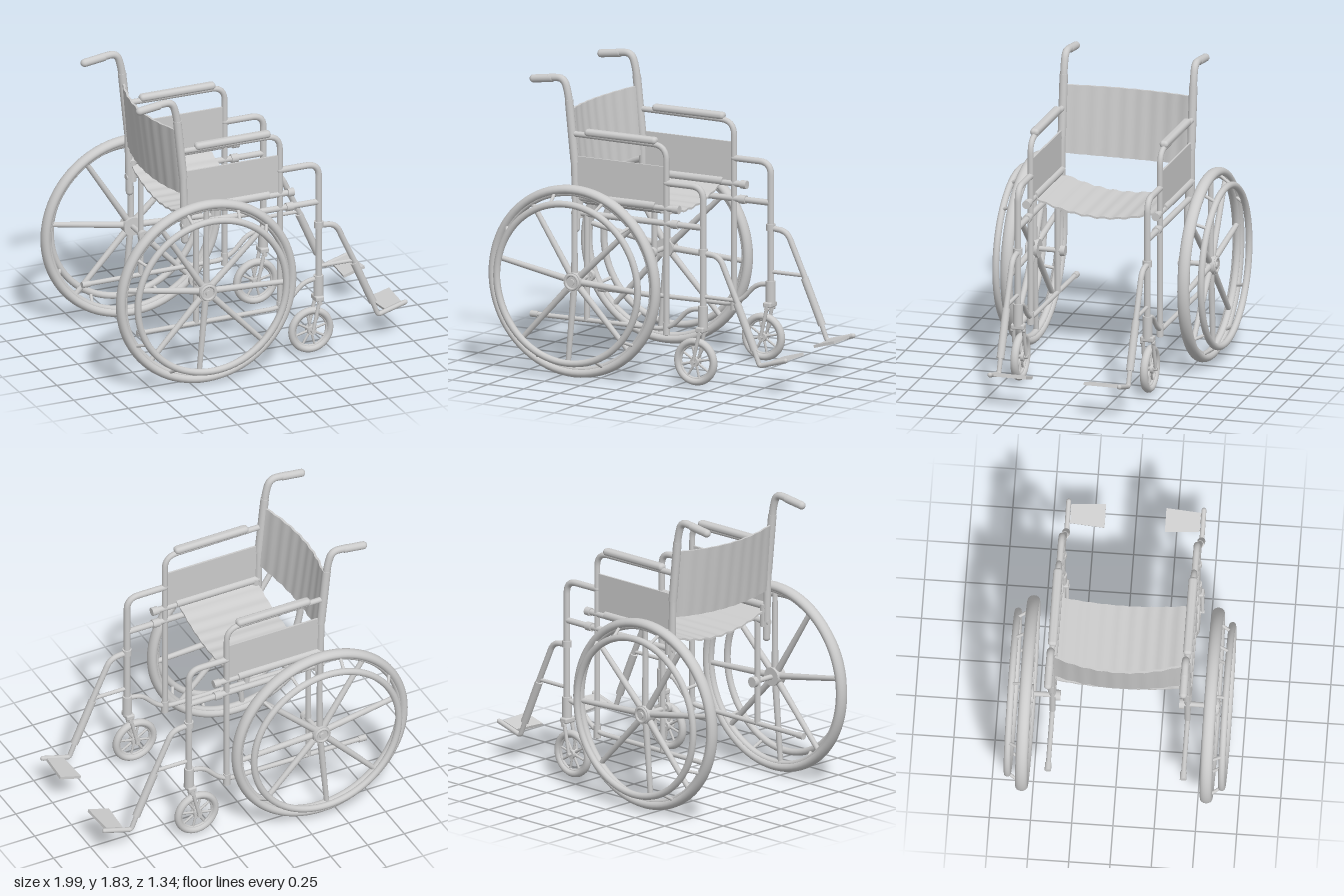
import * as THREE from 'three';
import { RoundedBoxGeometry } from 'three/addons/geometries/RoundedBoxGeometry.js';

const grey = new THREE.MeshStandardMaterial({ color: 0xcccccc });
const V = (x, y, z) => new THREE.Vector3(x, y, z);
const rad = THREE.MathUtils.degToRad;

function add(parent, name, geometry, x = 0, y = 0, z = 0) {
  const mesh = new THREE.Mesh(geometry, grey);
  mesh.name = name;
  mesh.position.set(x, y, z);
  parent.add(mesh);
  return mesh;
}

// Straight round bar between two points
function rod(parent, name, a, b, r, r2 = r, sides = 14) {
  const d = b.clone().sub(a);
  const mesh = add(parent, name, new THREE.CylinderGeometry(r2, r, d.length(), sides));
  mesh.position.copy(a).addScaledVector(d, 0.5);
  mesh.quaternion.setFromUnitVectors(V(0, 1, 0), d.normalize());
  return mesh;
}

// Tube through [x, y] points in the plane z, with rounded corners and closed ends
function bentTube(parent, name, pts, z, r, bend = 0.06) {
  const p = pts.map(([x, y]) => V(x, y, z));
  const path = new THREE.CurvePath();
  let from = p[0];
  for (let i = 1; i < p.length - 1; i++) {
    const a = p[i - 1].clone().sub(p[i]), b = p[i + 1].clone().sub(p[i]);
    const k = Math.min(bend, a.length() * 0.48, b.length() * 0.48);
    const start = p[i].clone().addScaledVector(a.normalize(), k);
    const end = p[i].clone().addScaledVector(b.normalize(), k);
    path.add(new THREE.LineCurve3(from, start));
    path.add(new THREE.QuadraticBezierCurve3(start, p[i], end));
    from = end;
  }
  path.add(new THREE.LineCurve3(from, p[p.length - 1]));
  add(parent, name, new THREE.TubeGeometry(path, 80, r, 12));
  for (const e of [p[0], p[p.length - 1]])
    add(parent, name + 'End', new THREE.SphereGeometry(r, 12, 8), e.x, e.y, e.z);
}

// Thin cloth from a rule (u, v) -> point, with a front, a back and a rim
function cloth(parent, name, rule, offset, nu = 40, nv = 6) {
  const geo = new THREE.BoxGeometry(1, 1, 1, nu, 1, nv);
  const p = geo.attributes.position;
  for (let i = 0; i < p.count; i++) {
    const q = rule(p.getX(i) * 2, p.getZ(i) + 0.5).addScaledVector(offset, p.getY(i));
    p.setXYZ(i, q.x, q.y, q.z);
  }
  geo.computeVertexNormals();
  const mesh = add(parent, name, geo);
  mesh.material = grey.clone();
  mesh.material.side = THREE.DoubleSide;
}

function bigWheel(s) {
  const g = new THREE.Group();
  g.name = 'rearWheel';
  g.position.set(-0.4, 0.6, s * 0.56);
  add(g, 'tire', new THREE.TorusGeometry(0.565, 0.029, 16, 80)).scale.z = 1.28;
  add(g, 'rim', new THREE.TorusGeometry(0.542, 0.017, 10, 80)).scale.z = 1.3;
  add(g, 'handRim', new THREE.TorusGeometry(0.492, 0.021, 12, 80), 0, 0, s * 0.09);
  for (const deg of [90, 43, -3, -46, -95, -133, 170, 123]) {
    const c = Math.cos(rad(deg)), n = Math.sin(rad(deg));
    rod(g, 'spoke', V(c * 0.03, n * 0.03, 0), V(c * 0.545, n * 0.545, 0), 0.021, 0.016);
  }
  // Struts holding the push ring
  for (const deg of [148, 104, 68, 44, -40, -68, -117, -150]) {
    const c = Math.cos(rad(deg)), n = Math.sin(rad(deg));
    rod(g, 'handRimStrut', V(c * 0.55, n * 0.55, s * 0.01), V(c * 0.495, n * 0.495, s * 0.09), 0.01);
  }
  rod(g, 'hub', V(0, 0, -0.035), V(0, 0, 0.035), 0.058, 0.058, 28);
  add(g, 'hubRing', new THREE.TorusGeometry(0.044, 0.009, 8, 28), 0, 0, s * 0.035);
  rod(g, 'hubCap', V(0, 0, 0), V(0, 0, s * 0.046), 0.02);
  rod(g, 'axle', V(0, 0, 0), V(0, 0, -s * 0.18), 0.016);
  rod(g, 'axleMount', V(0, 0, -s * 0.17), V(0, 0, -s * 0.2), 0.033);
  return g;
}

function caster(s) {
  const g = new THREE.Group();
  g.name = 'caster';
  g.position.set(0.36, 0.157, s * 0.41);
  add(g, 'casterTire', new THREE.TorusGeometry(0.125, 0.022, 12, 40)).scale.z = 1.15;
  add(g, 'casterRim', new THREE.TorusGeometry(0.106, 0.01, 8, 40));
  for (let i = 0; i < 8; i++) {
    const a = (i + 0.3) * Math.PI / 4;
    rod(g, 'casterSpoke', V(0, 0, 0), V(Math.cos(a) * 0.108, Math.sin(a) * 0.108, 0), 0.009, 0.007, 8);
  }
  rod(g, 'casterHub', V(0, 0, -0.025), V(0, 0, 0.025), 0.028, 0.028, 20);
  rod(g, 'casterAxle', V(0, 0, -0.048), V(0, 0, 0.048), 0.012);
  // Fork blades and crown
  for (const t of [-1, 1]) {
    rod(g, 'forkBlade', V(0.045, 0.2, t * 0.032), V(0, 0, t * 0.036), 0.012, 0.01);
    rod(g, 'forkNut', V(0.045, 0.18, t * 0.03), V(0.045, 0.18, t * 0.046), 0.014);
  }
  add(g, 'forkCrown', new RoundedBoxGeometry(0.055, 0.035, 0.085, 2, 0.01), 0.045, 0.205, 0);
  rod(g, 'forkStem', V(0.05, 0.21, 0), V(0.05, 0.35, 0), 0.03, 0.03, 18);
  return g;
}

function sideFrame(s) {
  const g = new THREE.Group();
  g.name = 'sideFrame';
  const z = s * 0.41;
  const P = (x, y) => V(x, y, z);

  // Back post and push handle
  bentTube(g, 'backPost', [[-0.475, 0.89], [-0.485, 1.3], [-0.53, 1.72], [-0.56, 1.815], [-0.66, 1.805]], z, 0.023);
  rod(g, 'backPostSleeve', P(-0.485, 1.3), P(-0.525, 1.68), 0.026);
  add(g, 'handGrip', new THREE.CapsuleGeometry(0.025, 0.125, 6, 14), -0.71, 1.795, z).rotation.z = Math.PI / 2 + 0.13;

  // Armrest, its pad and the skirt panel
  bentTube(g, 'armrestTube', [[-0.48, 1.475], [0.155, 1.47], [0.155, 0.31]], z, 0.018, 0.09);
  add(g, 'armrestPad', new RoundedBoxGeometry(0.5, 0.045, 0.055, 4, 0.021), -0.16, 1.493, z);
  add(g, 'skirtPanel', new THREE.BoxGeometry(0.62, 0.26, 0.012), -0.16, 1.21, z);

  // Seat rails
  rod(g, 'seatRail', P(-0.48, 1.09), P(0.08, 1.09), 0.026);
  rod(g, 'seatRailFront', P(0.08, 1.083), P(0.22, 1.083), 0.019);
  rod(g, 'seatRailCap', P(0.205, 1.083), P(0.245, 1.083), 0.026);
  rod(g, 'lowerRail', P(-0.5, 0.99), P(0.41, 0.99), 0.019);
  rod(g, 'lowerRailCollar', P(0.195, 0.99), P(0.24, 0.99), 0.027);
  rod(g, 'railBracket', P(-0.46, 1.1), P(-0.46, 0.96), 0.03);

  // Front frame, axle strut and base tube
  bentTube(g, 'frontFrame', [[0.155, 1.24], [0.412, 1.24], [0.412, 0.45]], z, 0.02, 0.08);
  rod(g, 'frontCollar', P(0.412, 0.82), P(0.412, 0.86), 0.029);
  rod(g, 'axleStrut', P(-0.4, 0.99), P(-0.4, 0.33), 0.018);
  bentTube(g, 'baseTube', [[-0.77, 0.33], [0.13, 0.335], [0.21, 0.37], [0.31, 0.475], [0.41, 0.49]], z, 0.015);
  rod(g, 'baseTubeTip', P(-0.79, 0.33), P(-0.74, 0.33), 0.02);
  rod(g, 'baseClamp', P(0.155, 0.3), P(0.155, 0.38), 0.022);

  // Leg rest and foot plate
  bentTube(g, 'legRest', [[0.412, 0.835], [0.525, 0.825], [0.66, 0.53]], z, 0.018, 0.11);
  rod(g, 'legRestBrace', P(0.412, 0.565), P(0.635, 0.565), 0.012);
  rod(g, 'legRestSleeve', P(0.647, 0.55), P(0.77, 0.27), 0.024);
  bentTube(g, 'footBar', [[0.76, 0.29], [0.805, 0.178], [0.985, 0.23]], z, 0.015, 0.02);
  const plate = new THREE.BoxGeometry(0.13, 0.018, 0.21);
  const p = plate.attributes.position;
  for (let i = 0; i < p.count; i++) p.setX(i, p.getX(i) * (1 - s * p.getZ(i) * 1.1));
  plate.computeVertexNormals();
  add(g, 'footPlate', plate, 0.912, 0.21, s * 0.288).rotation.z = 0.28;
  return g;
}

export function createModel() {
  const root = new THREE.Group();
  root.name = 'wheelchair';
  for (const s of [1, -1]) root.add(bigWheel(s), caster(s), sideFrame(s));

  // Sagging seat sling between the rails
  cloth(root, 'seatSling', (u, v) => V(
    -0.47 + 0.53 * v,
    0.985 + 0.08 * u * u + 0.004 * Math.sin(u * 28),
    -0.4 * u), V(0, 0.012, 0));

  // Back sling bulging to the rear
  cloth(root, 'backSling', (u, v) => V(
    -0.485 - 0.035 * v - (0.05 + 0.02 * v) * (1 - u * u) + 0.003 * Math.sin(u * 26),
    THREE.MathUtils.lerp(1.18 + 0.015 * u * u, 1.605 + 0.012 * u * u, v),
    0.4 * u), V(0.014, 0, 0));
  return root;
}
